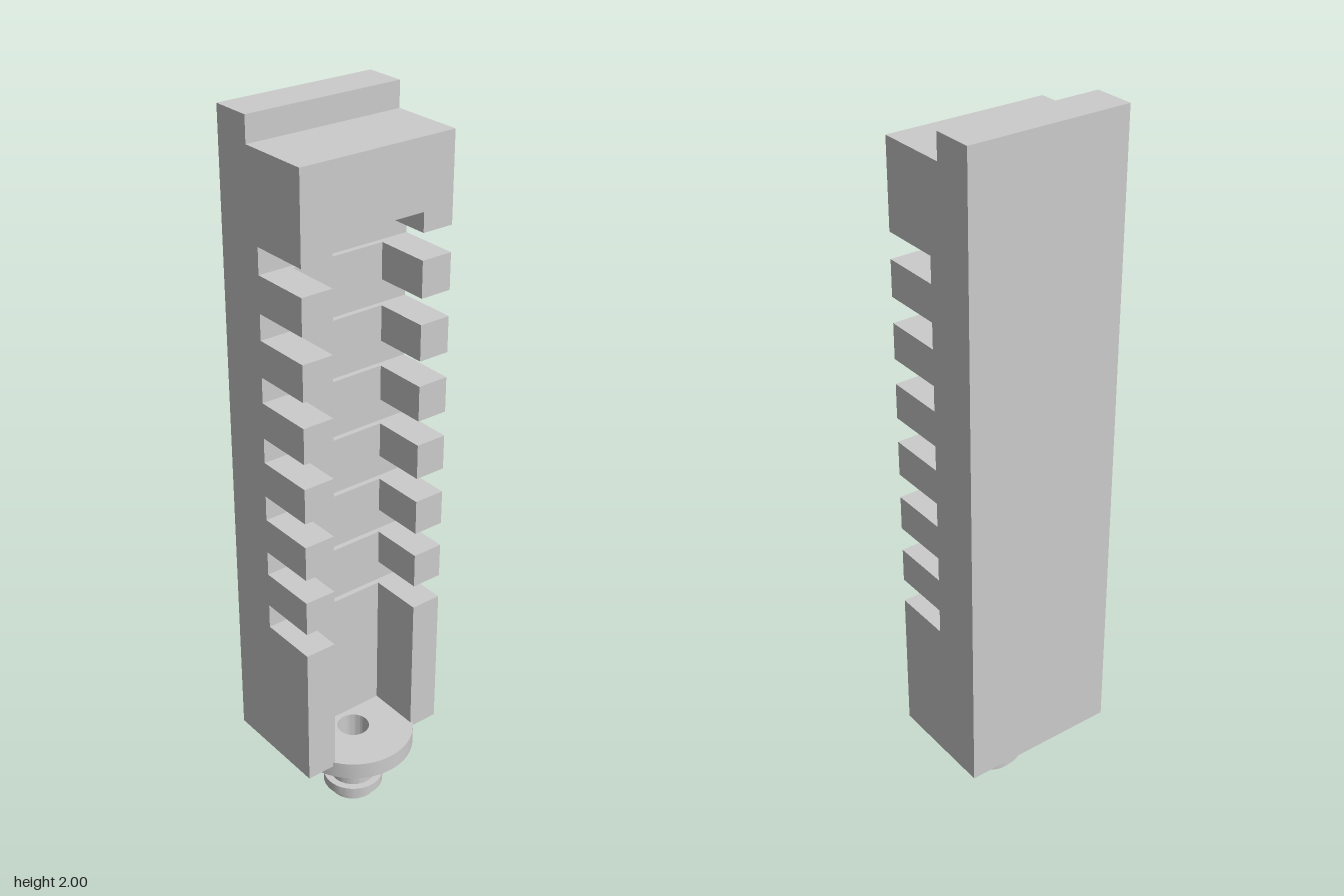
import * as THREE from 'three';
import { toCreasedNormals } from 'three/addons/utils/BufferGeometryUtils.js';

const HALF = 0.224, CHANNEL = 0.135;              // half widths in x
const FRONT = 0.118, BACK = -0.197, STEP = -0.085; // depths in z
const SLOT_Z = -0.05, FLOOR_Z = -0.035;
const BOTTOM = 0.205, CHANNEL_TOP = 1.75, SHOULDER = 1.932, TOP = 2;
const SLOTS = 7, FIRST = 0.62, PITCH = 0.168, GAP = 0.07;

// Side profile as [z, y] points: up the notched front, over the top, down the back
function profile(front, recessed) {
  const p = [[front, BOTTOM]];
  for (let i = 0; i < SLOTS; i++) {
    const y = FIRST + i * PITCH;
    p.push([front, y], [SLOT_Z, y], [SLOT_Z, y + GAP], [front, y + GAP]);
  }
  if (recessed) p.push([front, CHANNEL_TOP], [FRONT, CHANNEL_TOP]);
  p.push([FRONT, SHOULDER], [STEP, SHOULDER], [STEP, TOP], [BACK, TOP], [BACK, BOTTOM]);
  return p;
}

function createBody() {
  const pos = [];

  // Sweeps a profile's outline between two x positions
  const sweep = (pts, x0, x1) => pts.forEach(([az, ay], i) => {
    const [bz, by] = pts[(i + 1) % pts.length];
    pos.push(x0, ay, az, x1, ay, az, x1, by, bz);
    pos.push(x0, ay, az, x1, by, bz, x0, by, bz);
  });

  // Flat wall at x, facing the sign of dir
  const wall = (pts, x, dir) => {
    const contour = pts.map(([z, y]) => new THREE.Vector2(z, y));
    for (const t of THREE.ShapeUtils.triangulateShape(contour, [])) {
      const order = dir > 0 ? [t[2], t[1], t[0]] : t;
      for (const i of order) pos.push(x, pts[i][1], pts[i][0]);
    }
  };

  const side = profile(FRONT, false);
  sweep(side, -HALF, -CHANNEL);
  sweep(side, CHANNEL, HALF);
  sweep(profile(FLOOR_Z, true), -CHANNEL, CHANNEL);

  for (const s of [-1, 1]) {
    wall(side, s * HALF, s);
    // Inner channel walls on each tooth
    for (let i = 0; i <= SLOTS; i++) {
      const y0 = i === 0 ? BOTTOM : FIRST + (i - 1) * PITCH + GAP;
      const y1 = i === SLOTS ? CHANNEL_TOP : FIRST + i * PITCH;
      wall([[FLOOR_Z, y0], [FRONT, y0], [FRONT, y1], [FLOOR_Z, y1]], s * CHANNEL, -s);
    }
  }

  const geo = new THREE.BufferGeometry();
  geo.setAttribute('position', new THREE.Float32BufferAttribute(pos, 3));
  geo.computeVertexNormals();
  return geo;
}

// Hollow stem with a wide flange and a small collar
function createConnector() {
  const pts = [
    [0.045, 0], [0.065, 0], [0.065, 0.027], [0.085, 0.027], [0.085, 0.055],
    [0.065, 0.055], [0.065, 0.17], [0.17, 0.17], [0.17, 0.22], [0.045, 0.22], [0.045, 0],
  ].map(([r, y]) => new THREE.Vector2(r, y));
  return toCreasedNormals(new THREE.LatheGeometry(pts, 64), 0.6);
}

export function createModel() {
  const group = new THREE.Group();
  const material = new THREE.MeshStandardMaterial({ color: 0xcccccc });

  const body = new THREE.Mesh(createBody(), material);
  body.name = 'notchedBody';

  const connector = new THREE.Mesh(createConnector(), material);
  connector.name = 'hollowConnector';
  connector.position.z = 0.026;

  group.add(body, connector);
  return group;
}
